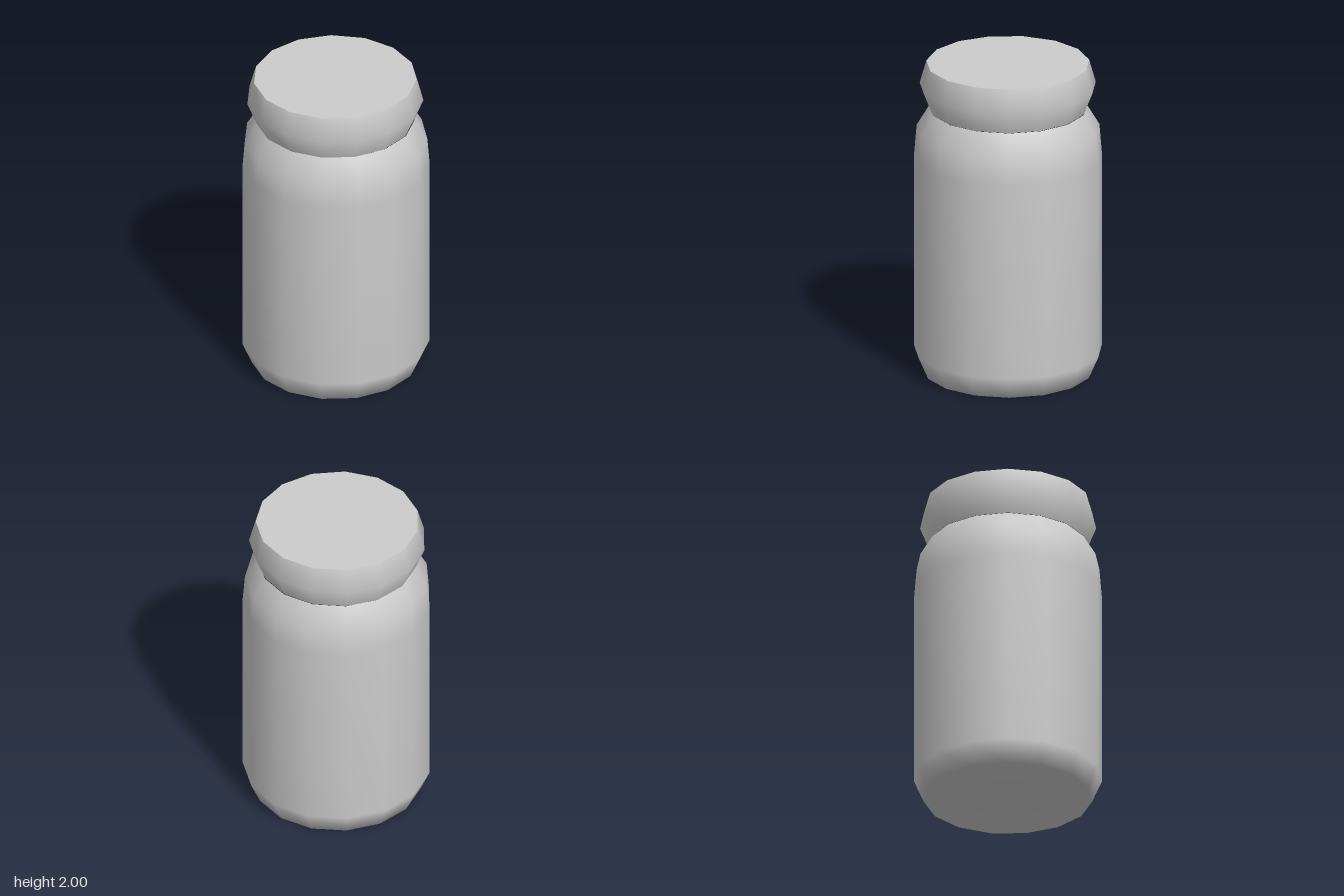
import * as THREE from 'three';

const SIDES = 15;

export function createModel() {
  const jar = new THREE.Group();
  jar.name = 'jar';
  const material = new THREE.MeshStandardMaterial({ color: 0xcccccc });

  // Revolve a [radius, height] profile, with a corner on +x
  const revolve = (name, profile, x) => {
    const points = profile.map(([r, y]) => new THREE.Vector2(r, y));
    const mesh = new THREE.Mesh(new THREE.LatheGeometry(points, SIDES, Math.PI / 2), material);
    mesh.name = name;
    mesh.position.x = x;
    jar.add(mesh);
  };

  // Body with a softly shaded base, straight wall and shoulder
  revolve('body', [[0, 0], [0.519, 0], [0.58, 0.14], [0.58, 1.4], [0.565, 1.58], [0.487, 1.71]], -0.007);

  // Lid band, widest at its middle
  revolve('lidBand', [[0.487, 1.71], [0.5445, 1.855], [0.503, 2]], -0.011);

  // Flat lid top with a sharp rim
  const top = new THREE.Mesh(new THREE.CircleGeometry(0.503, SIDES).rotateX(-Math.PI / 2), material);
  top.name = 'lidTop';
  top.position.set(-0.011, 2, 0);
  jar.add(top);

  return jar;
}
